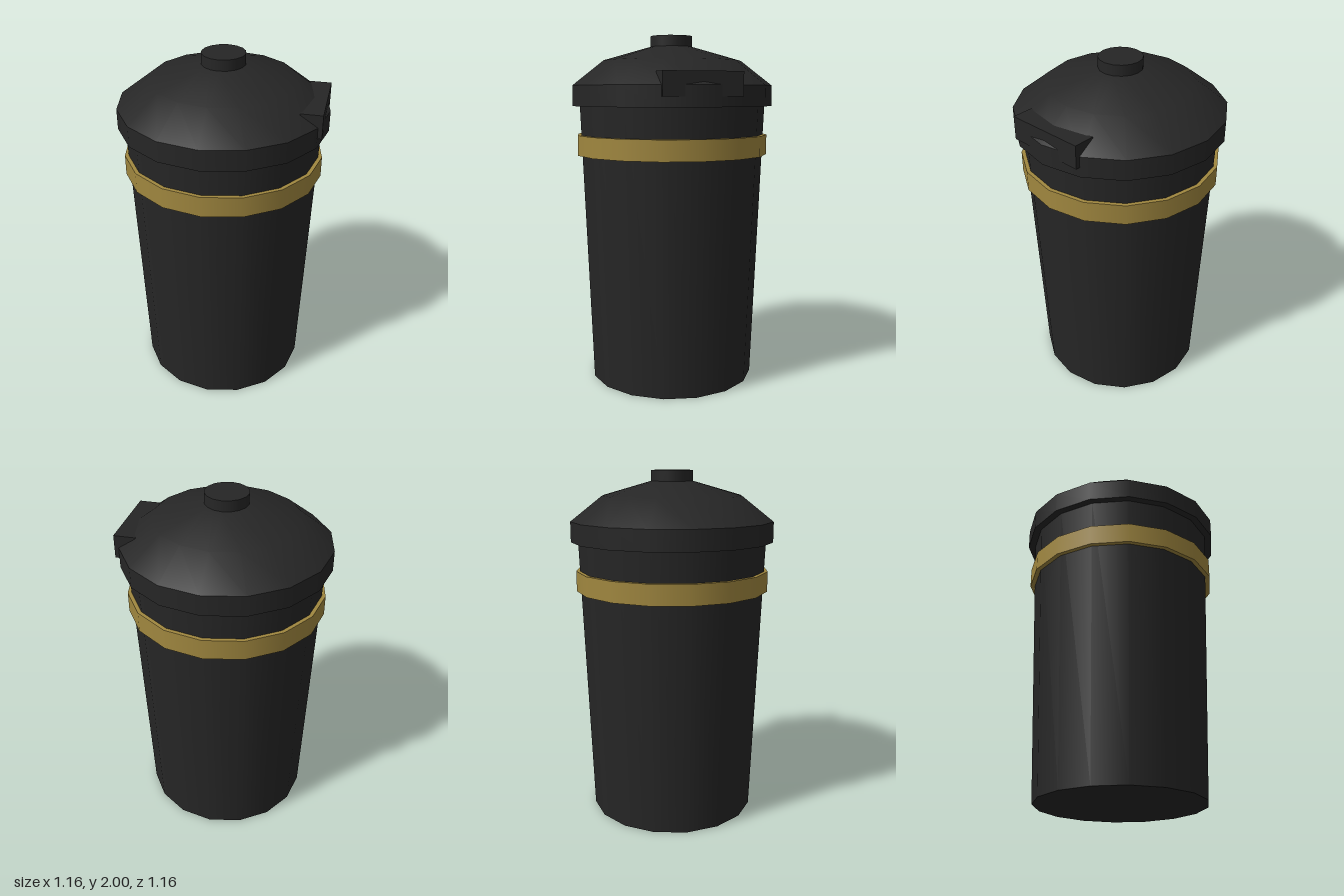
import * as THREE from 'three';
import { mergeGeometries } from 'three/addons/utils/BufferGeometryUtils.js';

const SIDES = 16;

// Each run of [radius, y] points is smooth within itself; runs meet at sharp edges.
function turned(name, material, runs) {
  const parts = runs.map((run) =>
    new THREE.LatheGeometry(run.map(([r, y]) => new THREE.Vector2(r, y)), SIDES));
  const mesh = new THREE.Mesh(mergeGeometries(parts), material);
  mesh.name = name;
  return mesh;
}

export function createModel() {
  const group = new THREE.Group();
  group.name = 'bin';

  const black = new THREE.MeshStandardMaterial({ color: 0x262626 });
  black.name = 'black plastic';
  const gold = new THREE.MeshStandardMaterial({ color: 0xa0873f });
  gold.name = 'dull gold';

  // Tapered body with a flat base
  group.add(turned('body', black, [
    [[0, 0], [0.48, 0]],
    [[0.48, 0], [0.54, 1.62]],
  ]));

  // Raised band around the body
  group.add(turned('band', gold, [
    [[0.5, 1.325], [0.555, 1.325]],
    [[0.555, 1.325], [0.555, 1.44]],
    [[0.555, 1.44], [0.5, 1.44]],
  ]));

  // Lid: underside, upright rim and domed top
  group.add(turned('lid', black, [
    [[0, 1.605], [0.58, 1.605]],
    [[0.58, 1.605], [0.58, 1.72]],
    [[0.58, 1.72], [0.4, 1.86], [0.12, 1.94], [0, 1.945]],
  ]));

  // Knob on top of the lid
  const knob = new THREE.Mesh(new THREE.CylinderGeometry(0.12, 0.12, 0.08, SIDES), black);
  knob.name = 'knob';
  knob.position.y = 1.96;
  group.add(knob);

  // Hinge block set into the side of the lid
  const hinge = new THREE.Mesh(new THREE.BoxGeometry(0.12, 0.13, 0.44), black);
  hinge.name = 'hinge';
  hinge.position.set(0.5, 1.725, 0);
  group.add(hinge);

  return group;
}
